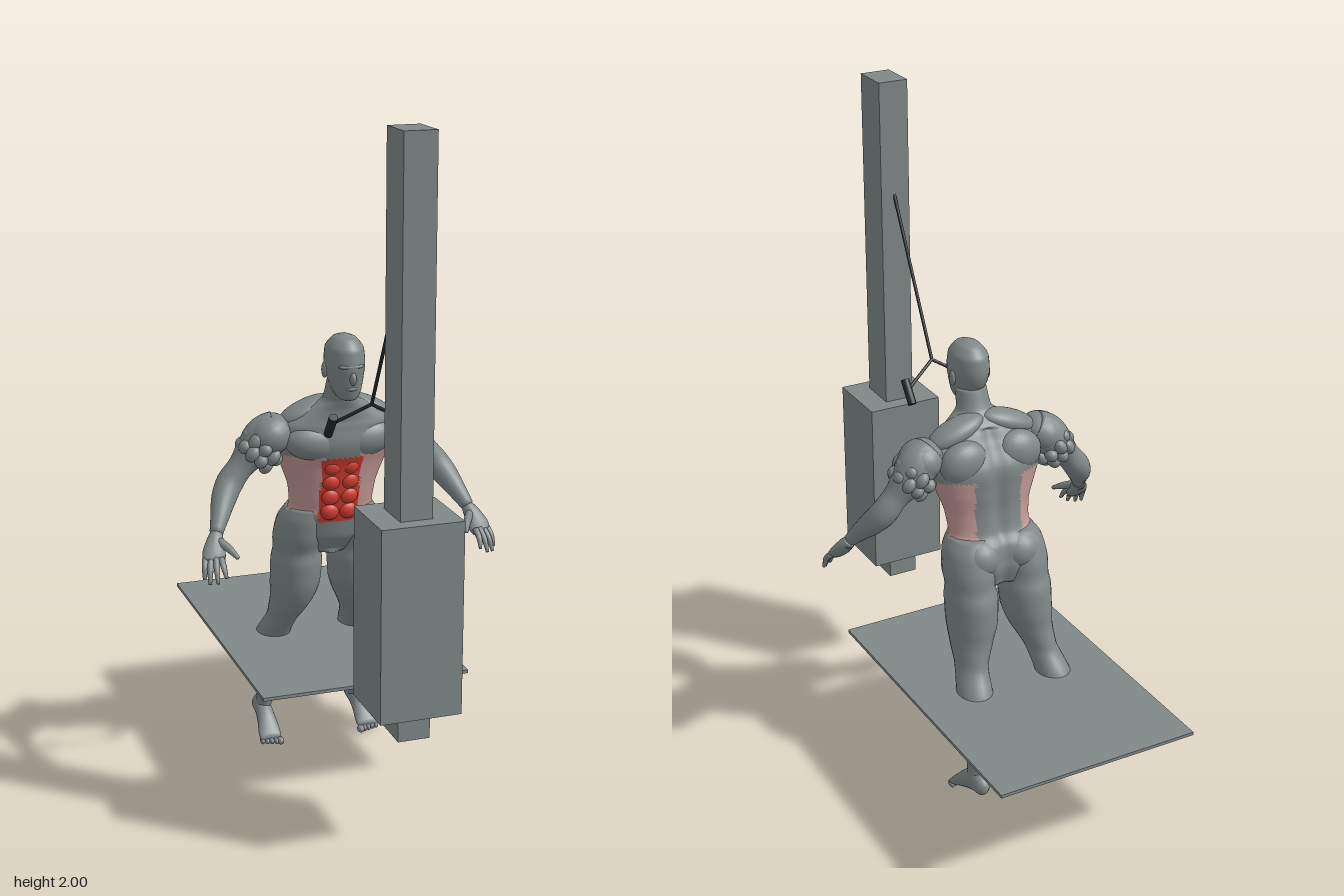
import * as THREE from 'three';

const mat = (name, color) => {
  const m = new THREE.MeshStandardMaterial({ color });
  m.name = name;
  return m;
};
const V = (x, y, z) => new THREE.Vector3(x, y, z);
const DOWN = V(0, -1, 0);

export function createModel() {
  const root = new THREE.Group();
  root.name = 'cableMachineAndAthlete';
  const grey = mat('grey', 0x808888);
  const dark = mat('darkRubber', 0x24292a);
  const red = mat('redMuscle', 0xd23c30);
  const pink = mat('pinkMuscle', 0xc49a97);

  function add(name, geometry, material = grey, parent = root) {
    const mesh = new THREE.Mesh(geometry, material);
    mesh.name = name;
    parent.add(mesh);
    return mesh;
  }
  function box(name, w, h, d, x, y, z) {
    add(name, new THREE.BoxGeometry(w, h, d)).position.set(x, y, z);
  }
  function blob(name, p, r, parent, material = grey, tilt = 0) {
    const m = add(name, new THREE.SphereGeometry(1, 20, 14), material, parent);
    m.position.set(...p);
    m.scale.set(...r);
    m.rotation.z = tilt;
    return m;
  }
  function rod(name, a, b, r, material, parent = root) {
    const d = b.clone().sub(a);
    const m = add(name, new THREE.CylinderGeometry(r, r, d.length(), 10), material, parent);
    m.position.copy(a).addScaledVector(d, 0.5);
    m.quaternion.setFromUnitVectors(V(0, 1, 0), d.normalize());
  }

  // Smooth skin through elliptical sections [x, y, z, rx, rz];
  // a fixed axis keeps the sections level, otherwise they follow the path.
  function loft(sections, { axis, sides = 24, steps = 4, move, pick } = {}) {
    const centres = new THREE.CatmullRomCurve3(sections.map(s => V(s[0], s[1], s[2])));
    const radii = new THREE.CatmullRomCurve3(sections.map(s => V(s[3], s[4] ?? s[3], 0)));
    const n = (sections.length - 1) * steps, pos = [], pts = [];
    for (let i = 0; i <= n; i++) {
      const c = centres.getPoint(i / n), r = radii.getPoint(i / n);
      const t = axis ?? centres.getTangent(i / n);
      const u = V(1, 0, 0).addScaledVector(t, -t.x).normalize();
      const w = t.clone().cross(u);
      for (let j = 0; j < sides; j++) {
        const a = j / sides * Math.PI * 2;
        const p = c.clone().addScaledVector(u, r.x * Math.cos(a)).addScaledVector(w, r.y * Math.sin(a));
        if (move) move(p);
        pts.push(p);
      }
    }
    pts.push(centres.getPoint(0), centres.getPoint(1));
    pts.forEach(p => pos.push(p.x, p.y, p.z));
    const buckets = [[], [], []];
    const face = (a, b, c) => {
      const mid = pts[a].clone().add(pts[b]).add(pts[c]).divideScalar(3);
      buckets[pick ? pick(mid) : 0].push(a, b, c);
    };
    const first = pts.length - 2, last = pts.length - 1;
    for (let j = 0; j < sides; j++) {
      const k = (j + 1) % sides;
      for (let i = 0; i < n; i++) {
        const a = i * sides + j, b = i * sides + k;
        face(a, b, a + sides);
        face(b, b + sides, a + sides);
      }
      face(first, k, j);
      face(last, n * sides + j, n * sides + k);
    }
    const g = new THREE.BufferGeometry();
    g.setAttribute('position', new THREE.Float32BufferAttribute(pos, 3));
    g.setIndex(buckets.flat());
    if (pick) {
      let start = 0;
      buckets.forEach((b, i) => { g.addGroup(start, b.length, i); start += b.length; });
    }
    g.computeVertexNormals();
    return g;
  }

  // Machine: post, weight block and platform
  box('post', 0.092, 1.65, 0.122, -0.002, 1.175, 0.592);
  box('weightBlock', 0.234, 0.55, 0.216, 0, 0.705, 0.592);
  box('platform', 0.63, 0.01, 0.98, 0, 0.355, -0.212);

  // Cable with two grips
  const fork = V(0, 1.205, 0.3);
  rod('cable', V(0, 1.655, 0.535), fork, 0.005, dark);
  for (const s of [-1, 1]) {
    rod('forkCable', fork, V(s * 0.103, 1.145, 0.255), 0.005, dark);
    rod('grip', V(s * 0.103, 1.17, 0.275), V(s * 0.103, 1.108, 0.228), 0.013, dark);
  }

  // Torso with a spine groove and coloured side muscles
  const body = new THREE.Group();
  body.name = 'athlete';
  root.add(body);
  add('torso', loft([
    [0, 1.22, 0.055, 0.045, 0.045], [0, 1.16, 0.035, 0.052, 0.05],
    [0, 1.125, 0.01, 0.105, 0.065], [0, 1.08, -0.005, 0.175, 0.08],
    [0, 1.02, -0.022, 0.185, 0.1], [0, 0.95, -0.035, 0.16, 0.09],
    [0, 0.88, -0.043, 0.135, 0.083], [0, 0.82, -0.055, 0.128, 0.083],
    [0, 0.78, -0.072, 0.145, 0.092], [0, 0.72, -0.085, 0.14, 0.088],
    [0, 0.66, -0.1, 0.09, 0.06],
  ], {
    axis: DOWN, sides: 64, steps: 8,
    move: p => {
      if (p.z < -0.04 && p.y < 1.12) p.z += 0.014 * Math.exp(-((p.x / 0.022) ** 2));
    },
    pick: p => {
      const x = Math.abs(p.x);
      if (p.z > 0 && x < 0.06 && p.y > 0.775 && p.y < 0.98) return 1;
      if (p.y < 0.8 || p.y > 0.99 || x < 0.055) return 0;
      return p.z < -0.06 && x < 0.075 ? 0 : 2;
    },
  }), [grey, red, pink], body);

  // Head, brow and nose
  add('head', loft([
    [0, 1.356, 0.07, 0.006, 0.008], [0, 1.345, 0.07, 0.032, 0.045],
    [0, 1.315, 0.069, 0.054, 0.073], [0, 1.27, 0.07, 0.057, 0.079],
    [0, 1.23, 0.074, 0.051, 0.071], [0, 1.195, 0.088, 0.041, 0.051],
    [0, 1.172, 0.1, 0.026, 0.03], [0, 1.165, 0.1, 0.008, 0.01],
  ], { axis: DOWN, sides: 32, steps: 6 }), grey, body);
  blob('nose', [0, 1.238, 0.146], [0.01, 0.019, 0.014], body);
  blob('brow', [0, 1.272, 0.132], [0.038, 0.009, 0.017], body);
  blob('lips', [0, 1.207, 0.134], [0.018, 0.007, 0.01], body);

  for (const s of [-1, 1]) {
    const skin = (name, rows, options) =>
      add(name, loft(rows.map(r => [s * r[0], ...r.slice(1)]), options), grey, body);
    const lump = (name, x, y, z, r, material, tilt = 0) =>
      blob(name, [s * x, y, z], r, body, material, s * tilt);

    lump('ear', 0.057, 1.25, 0.06, [0.008, 0.023, 0.014]);
    // Chest, back and hip muscles
    lump('pectoral', 0.08, 1.03, 0.028, [0.088, 0.056, 0.052], grey, 0.12);
    lump('trapezius', 0.085, 1.115, -0.01, [0.095, 0.034, 0.05], grey, -0.35);
    lump('shoulderBlade', 0.09, 1.04, -0.068, [0.075, 0.065, 0.048], grey, -0.3);
    lump('glute', 0.066, 0.745, -0.112, [0.068, 0.066, 0.068]);
    // Abdominal muscles
    for (let i = 0; i < 4; i++)
      lump('abdominal', 0.028, 0.952 - i * 0.048, 0.042 - i * 0.007, [0.028, 0.026, 0.018], red);

    // Shoulder with ragged folds around the upper arm
    lump('deltoid', 0.2, 1.052, -0.012, [0.068, 0.06, 0.072], grey, -0.5);
    for (let ring = 0; ring < 2; ring++)
      for (let i = 0; i < 9; i++) {
        const a = (i + ring / 2) / 9 * Math.PI * 2, r = 0.054 - ring * 0.006;
        const across = r * Math.cos(a);
        lump('shoulderFold', 0.222 + ring * 0.024 + across * 0.7, 1.015 - ring * 0.022 + across * 0.7,
          -0.018 + r * 1.1 * Math.sin(a), [0.019, 0.021 + 0.005 * (i % 2), 0.022], grey, 0.6);
      }

    // Arm
    skin('arm', [
      [0.17, 1.07, -0.01, 0.055], [0.21, 1.045, -0.02, 0.062], [0.25, 1, -0.025, 0.052],
      [0.29, 0.955, -0.022, 0.038], [0.32, 0.917, -0.018, 0.04], [0.345, 0.88, 0.005, 0.037],
      [0.37, 0.835, 0.045, 0.027], [0.388, 0.8, 0.073, 0.02], [0.395, 0.785, 0.083, 0.02],
    ]);
    // Hand with spread fingers
    skin('palm', [
      [0.388, 0.798, 0.073, 0.018], [0.397, 0.778, 0.09, 0.026, 0.02],
      [0.407, 0.75, 0.113, 0.034, 0.017], [0.414, 0.732, 0.128, 0.03, 0.012],
    ], { sides: 16 });
    const tips = [[0.445, 0.688, 0.147], [0.434, 0.679, 0.165], [0.413, 0.682, 0.176], [0.389, 0.697, 0.179]];
    tips.forEach((t, i) => {
      const b = [0.433 - i * 0.014, 0.742, 0.117 + i * 0.006];
      skin('finger', [[...b, 0.01], [(b[0] + t[0]) / 2 + 0.002, (b[1] + t[1]) / 2 + 0.004,
        (b[2] + t[2]) / 2 + 0.004, 0.009], [...t, 0.005]], { sides: 8 });
    });
    skin('thumb', [[0.388, 0.782, 0.095, 0.013], [0.365, 0.765, 0.13, 0.011], [0.35, 0.748, 0.162, 0.006]],
      { sides: 8 });

    // Leg
    skin('leg', [
      [0.075, 0.81, -0.065, 0.055, 0.075], [0.083, 0.77, -0.078, 0.072, 0.088],
      [0.088, 0.71, -0.093, 0.077, 0.092], [0.09, 0.665, -0.105, 0.072, 0.086],
      [0.09, 0.62, -0.112, 0.077, 0.094], [0.093, 0.55, -0.12, 0.074, 0.092],
      [0.1, 0.5, -0.13, 0.064, 0.082], [0.11, 0.46, -0.147, 0.054, 0.073],
      [0.12, 0.42, -0.17, 0.047, 0.062], [0.133, 0.36, -0.213, 0.052, 0.062],
      [0.139, 0.3, -0.234, 0.057, 0.062], [0.145, 0.22, -0.243, 0.045, 0.052],
      [0.15, 0.14, -0.254, 0.026, 0.035], [0.155, 0.08, -0.263, 0.023, 0.033],
    ], { axis: DOWN });
    // Foot, pointing down onto its toes
    skin('foot', [
      [0.155, 0.078, -0.324, 0.008, 0.012], [0.155, 0.08, -0.307, 0.023, 0.029],
      [0.156, 0.08, -0.265, 0.025, 0.038], [0.158, 0.058, -0.215, 0.029, 0.034],
      [0.16, 0.031, -0.175, 0.035, 0.021], [0.16, 0.019, -0.156, 0.032, 0.011],
    ], { axis: V(0, 0, 1) });
    for (let i = 0; i < 5; i++)
      lump('toe', 0.133 + i * 0.0135, 0.012, -0.148 - i * 0.004,
        [i ? 0.0075 : 0.011, i ? 0.01 : 0.012, 0.016]);
  }
  return root;
}
